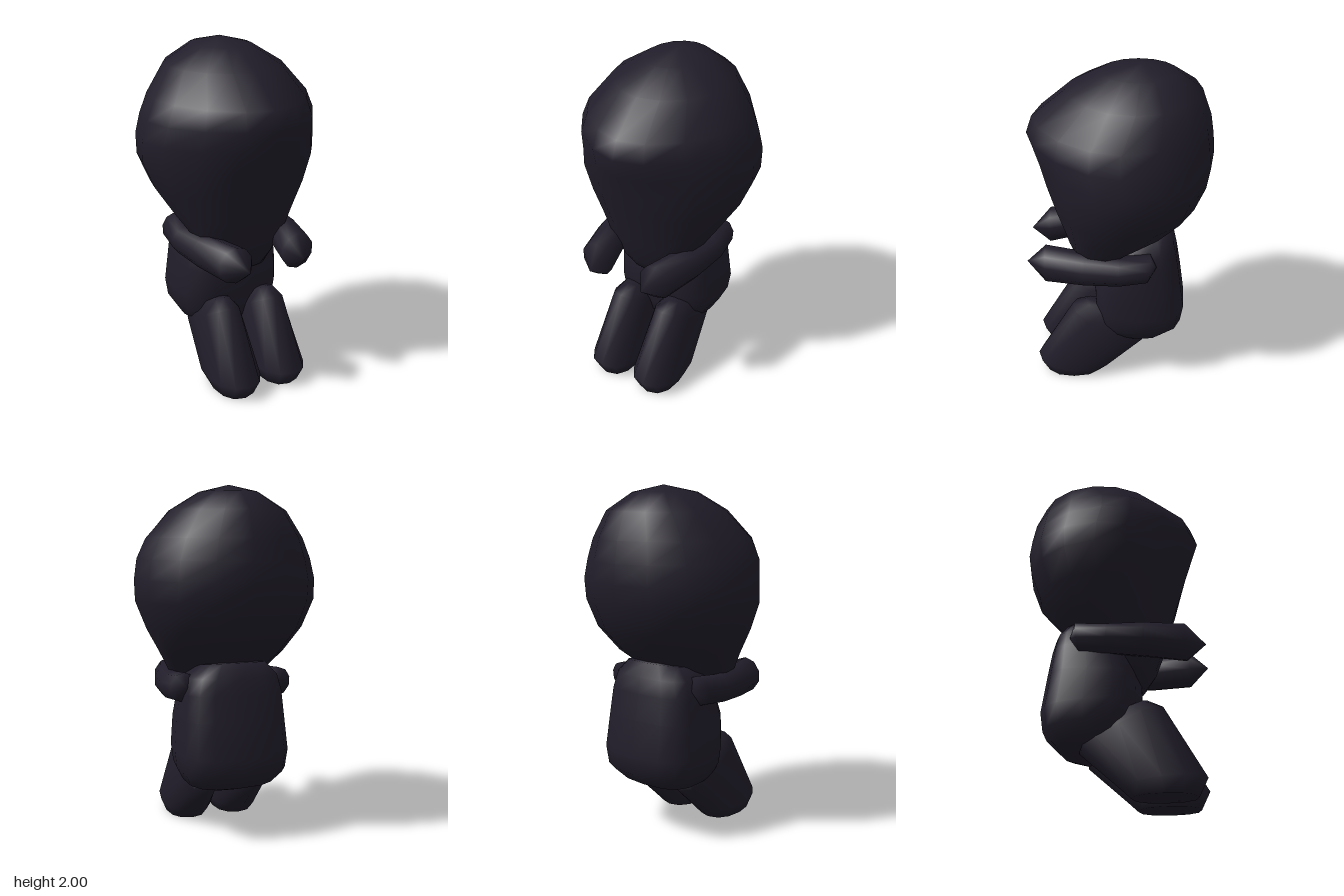
import * as THREE from 'three';

const material = new THREE.MeshStandardMaterial({ color: 0x211d2a, roughness: 0.9 });

// Smooth closed loft. Each ring: [frontZ, frontY, backZ, backY, halfWidth, centreX, frontPower, backPower]
// Rings run upwards (or forwards, with "front" as the lower edge).
function loft(name, rings, sides, startCap, endCap) {
  const pos = [], index = [];
  const power = (v, n) => Math.sign(v) * Math.pow(Math.abs(v), 2 / n);
  for (const [fz, fy, bz, by, w, x = 0, nf = 2, nb = 2] of rings) {
    for (let j = 0; j < sides; j++) {
      const t = (j / sides) * Math.PI * 2;
      const n = Math.cos(t) > 0 ? nf : nb;
      const c = power(Math.cos(t), n), s = power(Math.sin(t), n);
      pos.push(x + w * s, (fy + by) / 2 + (c * (fy - by)) / 2, (fz + bz) / 2 + (c * (fz - bz)) / 2);
    }
  }
  const last = (rings.length - 1) * sides;
  pos.push(...startCap, ...endCap);
  const start = last + sides, end = start + 1;
  for (let j = 0; j < sides; j++) {
    const k = (j + 1) % sides;
    for (let r = 0; r < last; r += sides) {
      index.push(r + j, r + k, r + sides + k, r + j, r + sides + k, r + sides + j);
    }
    index.push(start, k, j, end, last + j, last + k);
  }
  const geometry = new THREE.BufferGeometry();
  geometry.setAttribute('position', new THREE.Float32BufferAttribute(pos, 3));
  geometry.setIndex(index);
  geometry.computeVertexNormals();
  const mesh = new THREE.Mesh(geometry, material);
  mesh.name = name;
  return mesh;
}

export function createModel() {
  const model = new THREE.Group();
  model.name = 'figure';

  // Large head with a sloping face and narrow chin
  model.add(loft('head', [
    [0.17, 0.68, 0.09, 0.68, 0.15, 0, 2.5, 2],
    [0.24, 0.78, 0.03, 0.78, 0.2, 0, 2.5, 2],
    [0.3, 0.95, -0.15, 0.95, 0.31, 0, 2.4, 2],
    [0.33, 1.05, -0.31, 1.05, 0.37, 0, 2.3, 2],
    [0.38, 1.2, -0.45, 1.2, 0.46, 0, 2.1, 2],
    [0.43, 1.36, -0.51, 1.36, 0.525, 0, 1.9, 2],
    [0.47, 1.48, -0.53, 1.48, 0.527, 0, 1.7, 2],
    [0.51, 1.6, -0.52, 1.59, 0.505, 0, 1.65, 2],
    [0.475, 1.7, -0.5, 1.71, 0.455, 0, 1.7, 2],
    [0.28, 1.86, -0.445, 1.86, 0.33, 0, 1.9, 2],
    [0.1, 1.96, -0.31, 1.96, 0.165],
  ], 16, [0, 0.68, 0.13], [0, 2, -0.12]));

  // Rounded, box-like torso
  model.add(loft('torso', [
    [0.06, 0.27, -0.2, 0.26, 0.17, 0, 2.6, 2.6],
    [0.12, 0.34, -0.31, 0.3, 0.27, 0, 2.8, 2.8],
    [0.14, 0.42, -0.39, 0.38, 0.315, 0, 3, 3],
    [0.15, 0.52, -0.405, 0.49, 0.328, 0, 3, 3],
    [0.155, 0.68, -0.375, 0.7, 0.312, 0, 3, 3],
    [0.1, 0.82, -0.35, 0.85, 0.295, 0, 3, 3],
    [0.05, 0.92, -0.33, 0.94, 0.27, 0, 2.8, 2.8],
    [-0.02, 0.98, -0.29, 1.02, 0.2, 0, 2.5, 2.5],
  ], 16, [0, 0.25, -0.08], [0, 1.02, -0.18]));

  for (const side of [1, -1]) {
    const label = side > 0 ? 'left' : 'right';

    // Arm reaching forwards and slightly inwards
    model.add(loft(label + 'Arm', [
      [-0.16, 0.79, -0.18, 0.965, 0.08, 0.285 * side],
      [0.0, 0.775, 0.0, 0.945, 0.09, 0.292 * side],
      [0.2, 0.76, 0.2, 0.955, 0.1, 0.26 * side],
      [0.425, 0.745, 0.425, 0.958, 0.105, 0.2 * side],
    ], 10, [0.28 * side, 0.88, -0.215], [0.172 * side, 0.845, 0.535]));

    // Stubby leg slanting forwards to a flat foot
    model.add(loft(label + 'Leg', [
      [0.46, 0, 0.11, 0, 0.118, 0.152 * side, 2.3, 2.3],
      [0.51, 0.1, 0.05, 0.055, 0.152, 0.152 * side, 2.2, 2.2],
      [0.285, 0.5, -0.17, 0.25, 0.128, 0.15 * side, 2.2, 2.2],
      [0.2, 0.54, -0.18, 0.33, 0.085, 0.15 * side],
    ], 12, [0.152 * side, 0, 0.285], [0.15 * side, 0.47, 0]));
  }
  return model;
}
